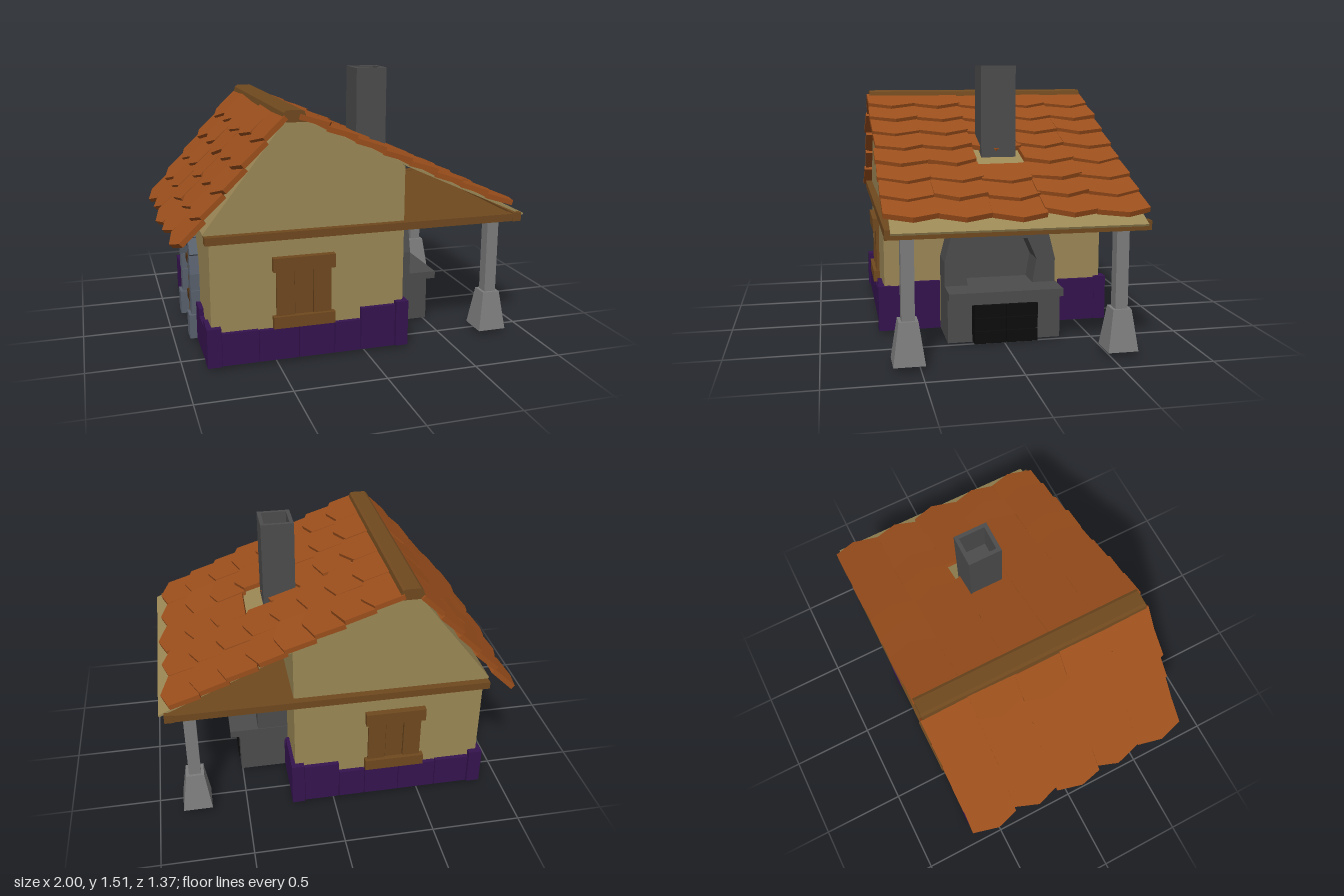
import * as THREE from 'three';

const mat = (color) => new THREE.MeshStandardMaterial({ color, flatShading: true });
const M = {
  plaster: mat(0x9c8856), tile: mat(0x9c4f1c), wood: mat(0x70491f), darkWood: mat(0x4e3013),
  plinth: mat(0x35134f), soot: mat(0x4c4c4c), pillar: mat(0x7d7d7d), stone: mat(0x59616d), coal: mat(0x0d0d0d),
};

let seed = 7;
const jitter = (a) => {
  seed = (seed * 16807) % 2147483647;
  return (seed / 2147483647 - 0.5) * 2 * a;
};

function add(parent, name, geometry, material) {
  const mesh = new THREE.Mesh(geometry, material);
  mesh.name = name;
  parent.add(mesh);
  return mesh;
}

// Box given by its lower and upper limits on each axis
function box(parent, name, material, x0, x1, y0, y1, z0, z1) {
  const mesh = add(parent, name, new THREE.BoxGeometry(x1 - x0, y1 - y0, z1 - z0), material);
  mesh.position.set((x0 + x1) / 2, (y0 + y1) / 2, (z0 + z1) / 2);
  return mesh;
}

const shapeOf = (pts) => new THREE.Shape(pts.map(([x, y]) => new THREE.Vector2(x, y)));
const extrude = (shape, depth, curveSegments = 4) =>
  new THREE.ExtrudeGeometry(shape, { depth, bevelEnabled: false, curveSegments });

function group(parent, name) {
  const g = new THREE.Group();
  g.name = name;
  parent.add(g);
  return g;
}

// One roof slope: overlapping pointed tiles running down from (x, y)
function roofSlope(parent, name, x, y, dir, angle, rows, skip) {
  const g = group(parent, name);
  const c = Math.cos(angle), s = Math.sin(angle);
  g.applyMatrix4(new THREE.Matrix4().makeBasis(
    new THREE.Vector3(dir * c, -s, 0), new THREE.Vector3(0, 0, -dir), new THREE.Vector3(dir * s, c, 0),
  ).setPosition(x, y, 0));
  const L = 0.215, step = 0.168;
  for (let col = -2; col <= 2; col++) {
    const shift = jitter(0.012) + (col === 0 ? 0.015 : 0);
    for (let row = 0; row < rows; row++) {
      if (skip && col === 0 && row === skip) continue;
      const w = 0.139 + jitter(0.004);
      const tile = add(g, 'roofTile', extrude(shapeOf([
        [0, -w], [L - 0.05 + jitter(0.01), -w], [L, jitter(0.02)], [L - 0.05 + jitter(0.01), w], [0, w],
      ]), 0.028), M.tile);
      tile.position.set(row * step + shift - 0.01, col * 0.27, 0.002);
      tile.rotation.set(jitter(0.02), -0.11 + jitter(0.015), jitter(0.04));
    }
  }
  return g;
}

// Shuttered window on the front (side = 1) or back (side = -1) wall
function windowUnit(parent, side) {
  const g = group(parent, side > 0 ? 'frontWindow' : 'backWindow');
  const part = (name, m, x0, x1, y0, y1, depth) =>
    box(g, name, m, x0, x1, y0, y1, Math.min(side * 0.62, side * depth), Math.max(side * 0.62, side * depth));
  part('windowBacking', M.darkWood, -0.49, -0.2, 0.25, 0.53, 0.638);
  for (let i = 0; i < 3; i++) {
    const x = -0.5 + i * 0.102;
    part('shutterPlank', M.wood, x, x + 0.098, 0.25, 0.53, i === 1 ? 0.645 : 0.653);
  }
  part('lintel', M.wood, -0.52, -0.18, 0.515, 0.59, 0.672);
  part('sill', M.wood, -0.52, -0.18, 0.2, 0.265, 0.672);
}

function doorway(parent) {
  const g = group(parent, 'doorway');
  const outward = (name, shape, depth, m) => {
    const mesh = add(g, name, extrude(shape, depth).rotateY(-Math.PI / 2), m);
    mesh.position.x = -0.84;
    return mesh;
  };
  // Planks cut to the arch
  for (let i = 0; i < 4; i++) {
    const a = -0.18 + i * 0.09, b = a + 0.085;
    const top = (z) => 0.4 + Math.sqrt(Math.max(0, 0.0324 - z * z));
    const m = (a + b) / 2;
    outward('doorPlank', shapeOf([[a, 0.02], [b, 0.02], [b, top(b)], [m, top(m)], [a, top(a)]]), 0.026, M.wood);
  }
  for (const y of [0.13, 0.36]) box(g, 'doorBrace', M.darkWood, -0.876, -0.85, y, y + 0.045, -0.165, 0.165);
  box(g, 'doorBacking', M.darkWood, -0.858, -0.84, 0.02, 0.5, -0.17, 0.17);
  // Jamb stones and arch stones
  for (const s of [-1, 1]) {
    [[0.02, 0.16, 0.155, 0.25, 0.915], [0.163, 0.3, 0.165, 0.24, 0.9], [0.303, 0.4, 0.165, 0.24, 0.903]].forEach(
      ([y0, y1, z0, z1, x]) => box(g, 'jambStone', M.stone, -x, -0.84, y0, y1,
        Math.min(s * z0, s * z1), Math.max(s * z0, s * z1)));
  }
  const n = 7;
  for (let i = 0; i < n; i++) {
    const a0 = (i * Math.PI) / n + 0.012, a1 = ((i + 1) * Math.PI) / n - 0.012;
    const p = (r, a) => [r * Math.cos(a), 0.4 + r * Math.sin(a)];
    outward('archStone', shapeOf([p(0.165, a0), p(0.243, a0), p(0.243, a1), p(0.165, a1)]),
      i % 2 ? 0.058 : 0.063, M.stone);
  }
}

function plinth(parent) {
  const g = group(parent, 'plinth');
  const y0 = 0.02;
  // Front and back courses: [x start, x end, top]
  for (const s of [-1, 1]) {
    [[-0.88, -0.8, 0.235], [-0.8, -0.6, 0.2], [-0.6, -0.38, 0.195], [-0.38, -0.18, 0.2], [-0.18, -0.03, 0.195],
      [-0.03, 0.17, 0.26], [0.17, 0.245, 0.278]].forEach(([a, b, h], i) => {
      const out = i === 0 || i === 6 ? 0.67 : 0.66;
      box(g, 'plinthStone', M.plinth, a + 0.002, b - 0.002, y0, h, s > 0 ? 0.6 : -out, s > 0 ? out : -0.6);
    });
    // Door side and hearth side courses: [inner z, outer z, top]
    [[0.25, 0.37, 0.24], [0.37, 0.52, 0.2], [0.52, 0.61, 0.235]].forEach(([a, b, h]) =>
      box(g, 'plinthStone', M.plinth, -0.875, -0.82, y0, h, s > 0 ? a : -b, s > 0 ? b : -a));
  }
  [[0.32, 0.48, 0.298], [0.48, 0.62, 0.275], [-0.38, -0.3, 0.2], [-0.61, -0.38, 0.268]].forEach(([a, b, h]) =>
    box(g, 'plinthStone', M.plinth, 0.19, 0.24, y0, h, a, b));
}

function fireplace(parent) {
  const g = group(parent, 'fireplace');
  // Hood with a recessed mouth
  const hood = shapeOf([[-0.315, 0.29], [0.315, 0.29], [0.315, 0.44], [0.25, 0.695], [-0.25, 0.695], [-0.315, 0.44]]);
  hood.holes.push(new THREE.Path([[-0.185, 0.305], [-0.208, 0.44], [-0.155, 0.56], [0.155, 0.56], [0.208, 0.44],
    [0.185, 0.305]].map(([x, y]) => new THREE.Vector2(x, y))));
  add(g, 'hood', extrude(hood, 0.175).rotateY(Math.PI / 2), M.soot).position.x = 0.22;
  box(g, 'hoodBack', M.soot, 0.2, 0.235, 0.28, 0.6, -0.23, 0.23);
  // Counter on two side walls
  box(g, 'counter', M.soot, 0.22, 0.56, 0.262, 0.305, -0.32, 0.315);
  box(g, 'counterBeam', M.soot, 0.22, 0.505, 0.222, 0.262, -0.2, 0.2);
  for (const s of [-1, 1]) {
    box(g, 'hearthWall', M.soot, 0.22, 0.505, 0.015, 0.262, s > 0 ? 0.18 : -0.315, s > 0 ? 0.315 : -0.18);
  }
  // Stacked fuel under the counter
  for (const z of [-0.188, -0.008]) {
    for (let i = 0; i < 3; i++) {
      box(g, 'fuelBlock', M.coal, 0.29, 0.512, 0.001 + i * 0.074, 0.071 + i * 0.074, z, z + 0.175);
    }
  }
  // Hollow chimney
  const stack = shapeOf([[0.125, -0.092], [0.31, -0.092], [0.31, 0.102], [0.125, 0.102]]);
  stack.holes.push(new THREE.Path([[0.147, -0.07], [0.147, 0.08], [0.288, 0.08], [0.288, -0.07]]
    .map(([x, y]) => new THREE.Vector2(x, y))));
  add(g, 'chimney', extrude(stack, 0.83).rotateX(-Math.PI / 2), M.soot).position.y = 0.685;
  box(g, 'chimneyFloor', M.soot, 0.14, 0.295, 1.3, 1.32, -0.085, 0.075);
}

export function createModel() {
  const model = new THREE.Group();
  model.name = 'cottage';

  // Walls and gables in one profile
  add(model, 'walls', extrude(shapeOf([[-0.85, 0.025], [0.22, 0.025], [0.22, 1.035], [-0.35, 1.295], [-0.45, 1.295],
    [-0.88, 0.74], [-0.85, 0.7]]), 1.27), M.plaster).position.z = -0.635;
  plinth(model);
  windowUnit(model, 1);
  windowUnit(model, -1);
  doorway(model);
  fireplace(model);

  // Eaves beams and porch ceiling
  for (const s of [-1, 1]) {
    box(model, 'eavesBeam', M.wood, -0.875, 0.91, 0.69, 0.732, s > 0 ? 0.62 : -0.675, s > 0 ? 0.675 : -0.62);
  }
  box(model, 'porchBeam', M.wood, 0.86, 0.91, 0.688, 0.738, -0.677, 0.677);
  box(model, 'porchCeiling', M.wood, 0.2, 0.88, 0.7, 0.728, -0.65, 0.65);

  // Roof boards, tiles and ridge
  const angle = 0.424;
  const boards = box(model, 'roofBoards', M.plaster, -0.71, 0.71, -0.008, 0.004, -0.65, 0.65);
  boards.rotation.z = -angle;
  boards.position.set(0.29, 1.012, 0);
  roofSlope(model, 'rightSlope', -0.36, 1.305, 1, angle, 8, 4);
  roofSlope(model, 'leftSlope', -0.44, 1.305, -1, 0.865, 5, 0);
  add(model, 'ridgeBeam', extrude(shapeOf([[-0.47, 1.3], [-0.33, 1.3], [-0.345, 1.355], [-0.36, 1.362],
    [-0.44, 1.362], [-0.455, 1.35]]), 1.335), M.wood).position.z = -0.67;

  // Porch pillars on tapered footings
  for (const s of [-1, 1]) {
    const g = group(model, 'porchPillar');
    g.position.set(0.783, 0, s * 0.56);
    box(g, 'post', M.pillar, -0.034, 0.034, 0.24, 0.7, -0.034, 0.034);
    const foot = add(g, 'footing', new THREE.CylinderGeometry(0.05 * Math.SQRT2, 0.082 * Math.SQRT2, 0.222, 4)
      .rotateY(Math.PI / 4), M.pillar);
    foot.position.y = 0.142;
  }
  return model;
}
